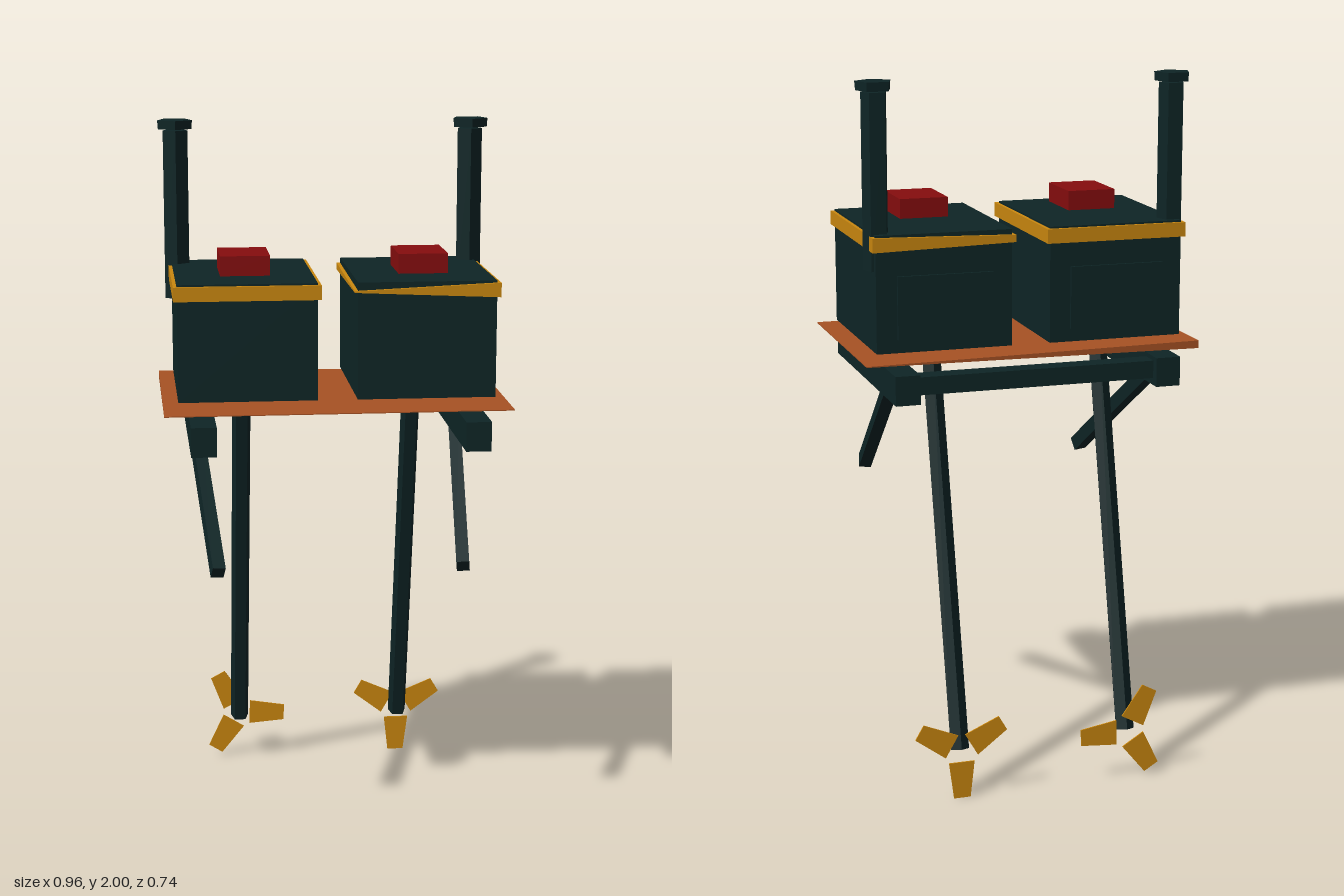
import * as THREE from 'three';

const dark = new THREE.MeshStandardMaterial({ color: 0x0e2526 });
dark.name = 'darkTeal';
const yellow = new THREE.MeshStandardMaterial({ color: 0xcb880f });
yellow.name = 'amber';
const rust = new THREE.MeshStandardMaterial({ color: 0xa75224 });
rust.name = 'rust';
const red = new THREE.MeshStandardMaterial({ color: 0x860d0e });
red.name = 'red';
const amberThin = yellow;
amberThin.side = THREE.DoubleSide;

function add(parent, name, geometry, material) {
  const mesh = new THREE.Mesh(geometry, material);
  mesh.name = name;
  parent.add(mesh);
  return mesh;
}

// Box given by its two extreme corners
function block(parent, name, material, [x0, y0, z0], [x1, y1, z1]) {
  const g = new THREE.BoxGeometry(x1 - x0, y1 - y0, z1 - z0);
  g.translate((x0 + x1) / 2, (y0 + y1) / 2, (z0 + z1) / 2);
  return add(parent, name, g, material);
}

// Flatten a box towards height y by a factor that depends on x and z
function pinch(mesh, y, factor) {
  const p = mesh.geometry.attributes.position;
  for (let i = 0; i < p.count; i++) {
    p.setY(i, y + (p.getY(i) - y) * factor(p.getX(i), p.getZ(i)));
  }
  mesh.geometry.computeVertexNormals();
}

// Straight bar between two points
function bar(parent, name, from, to, geometryFor) {
  const a = new THREE.Vector3(...from), b = new THREE.Vector3(...to);
  const dir = b.clone().sub(a);
  const mesh = add(parent, name, geometryFor(dir.length()), dark);
  mesh.position.copy(a).add(b).multiplyScalar(0.5);
  mesh.quaternion.setFromUnitVectors(new THREE.Vector3(0, 1, 0), dir.normalize());
  return mesh;
}

function prism(rTop, rBottom, h) {
  const g = new THREE.CylinderGeometry(rTop, rBottom, h, 5).toNonIndexed();
  g.computeVertexNormals();
  return g;
}

// Three flat tapered blades around a hub
function propeller(parent, x, startAngle) {
  const group = new THREE.Group();
  group.name = 'propeller';
  group.position.set(x, 0.145, -0.368);
  const outline = new THREE.Shape([
    new THREE.Vector2(0.033, -0.037), new THREE.Vector2(0.14, -0.025),
    new THREE.Vector2(0.14, 0.023), new THREE.Vector2(0.033, 0.037),
  ]);
  for (let i = 0; i < 3; i++) {
    const g = new THREE.ExtrudeGeometry(outline, { depth: 0.004, bevelEnabled: false });
    g.translate(0, 0, -0.002);
    const blade = add(group, 'blade', g, yellow);
    blade.rotation.z = startAngle + (i * Math.PI * 2) / 3;
  }
  parent.add(group);
}

export function createModel() {
  const model = new THREE.Group();
  model.name = 'twinMotorRig';

  // Deck: a thin sheet, thickest at its right rear corner
  const deck = block(model, 'deck', rust, [-0.48, 1.234, -0.275], [0.48, 1.256, 0.33]);
  pinch(deck, 1.245, (x, z) => (x < 0 && z < 0 ? 1 : 0.12));

  // Cross beam under the rear of the deck
  block(model, 'crossBeam', dark, [-0.4, 1.16, -0.287], [0.4, 1.21, -0.23]);

  for (const s of [-1, 1]) {
    const side = new THREE.Group();
    side.name = s > 0 ? 'leftMotor' : 'rightMotor';
    model.add(side);
    const cx = s * 0.247;

    // Housing with lid band, button and rear panel
    block(side, 'housing', dark, [cx - 0.192, 1.267, -0.226], [cx + 0.192, 1.592, 0.252]);
    const band = block(side, 'lidBand', yellow,
      [cx - 0.202, 1.547, -0.236], [cx + 0.202, 1.587, 0.262]);
    if (s > 0) pinch(band, 1.567, (x, z) => (x < cx ? (z > 0 ? 0.1 : 0.5) : 1));
    block(side, 'button', red, [cx - 0.069, 1.6, -0.02], [cx + 0.069, 1.655, 0.156]);
    block(side, 'rearPanel', dark, [cx - 0.135, 1.305, -0.24], [cx + 0.135, 1.48, -0.232]);

    // Exhaust stack with a wider cap
    const stack = add(side, 'stack', prism(0.037, 0.037, 0.48), dark);
    stack.position.set(s * 0.424, 1.731, -0.178);
    const cap = add(side, 'stackCap', prism(0.052, 0.05, 0.025), dark);
    cap.position.set(s * 0.425, 1.9875, -0.18);

    // Side rail and brace
    block(side, 'rail', dark, [s * 0.375 - 0.035, 1.14, -0.312], [s * 0.375 + 0.035, 1.222, 0.37]);
    bar(side, 'brace', [s * 0.385, 1.15, -0.15], [s * 0.34, 0.808, 0.345],
      (h) => new THREE.BoxGeometry(0.036, h, 0.04));

    // Drive shaft leg and propeller
    bar(side, 'driveShaft', [s * 0.247, 1.245, -0.068], [s * 0.247, 0.142, -0.342],
      (h) => prism(0.028, 0.028, h));
    propeller(side, s * 0.247, s > 0 ? -Math.PI / 2 : -0.03);
  }
  return model;
}
